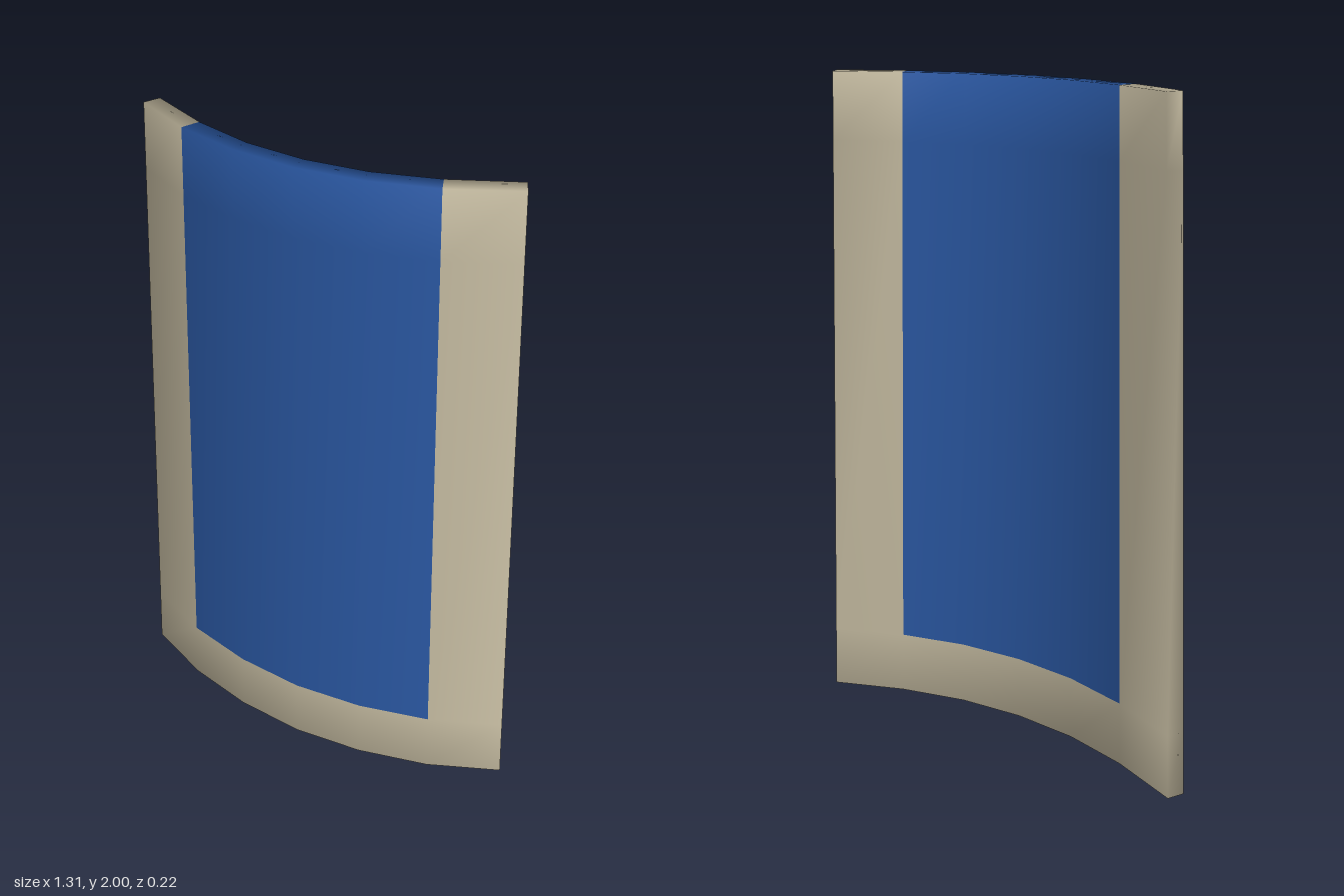
import * as THREE from 'three';

export function createModel() {
  const frameMat = new THREE.MeshStandardMaterial({ color: 0xcbc1a6 });
  frameMat.name = 'beige';
  const panelMat = new THREE.MeshStandardMaterial({ color: 0x2c5ba8 });
  panelMat.name = 'blue';

  // half cross-section at the base, from the centre outwards: [x, z]
  const front = [[0, 0.107], [0.22, 0.088], [0.44, 0.034], [0.655, -0.06]];
  const back = [[0, 0.05], [0.207, 0.033], [0.415, -0.02], [0.63, -0.108]];
  const mirror = (half) => [
    ...half.slice(1).reverse().map(([x, z]) => [-x, z]),
    ...half,
  ];
  // closed loop: front left to right, then back right to left
  const loop = [...mirror(front), ...mirror(back).reverse()];
  const n = loop.length;

  // rows taper evenly in x towards the top
  const rows = [0, 0.2, 1.8, 2];
  const positions = [];
  for (const y of rows) {
    const taper = 1 - 0.061 * y;
    for (const [x, z] of loop) positions.push(x * taper, y, z);
  }

  const frame = [];
  const panel = [];
  const quad = (list, a, b, c, d) => list.push(a, b, c, a, c, d);
  const isCentre = (i) => i >= 1 && i <= 4;

  // front, back and side walls
  for (let r = 0; r < rows.length - 1; r++) {
    for (let i = 0; i < n; i++) {
      const j = (i + 1) % n;
      const blue = r > 0 && (isCentre(i) || isCentre(i - 7));
      quad(blue ? panel : frame, r * n + i, r * n + j, (r + 1) * n + j, (r + 1) * n + i);
    }
  }
  // top and bottom edges
  const top = (rows.length - 1) * n;
  for (let i = 0; i < 6; i++) {
    const j = i + 1, bi = n - 1 - i, bj = n - 2 - i;
    quad(isCentre(i) ? panel : frame, top + i, top + j, top + bj, top + bi);
    quad(frame, i, bi, bj, j);
  }

  // normals are smoothed over the whole shell, then shared by both parts
  const shell = new THREE.BufferGeometry();
  shell.setAttribute('position', new THREE.Float32BufferAttribute(positions, 3));
  shell.setIndex([...frame, ...panel]);
  shell.computeVertexNormals();

  const group = new THREE.Group();
  group.name = 'curvedShield';
  const addPart = (name, index, material) => {
    const geometry = shell.clone();
    geometry.setIndex(index);
    const mesh = new THREE.Mesh(geometry, material);
    mesh.name = name;
    group.add(mesh);
  };
  addPart('border', frame, frameMat);
  addPart('centrePanel', panel, panelMat);
  return group;
}
